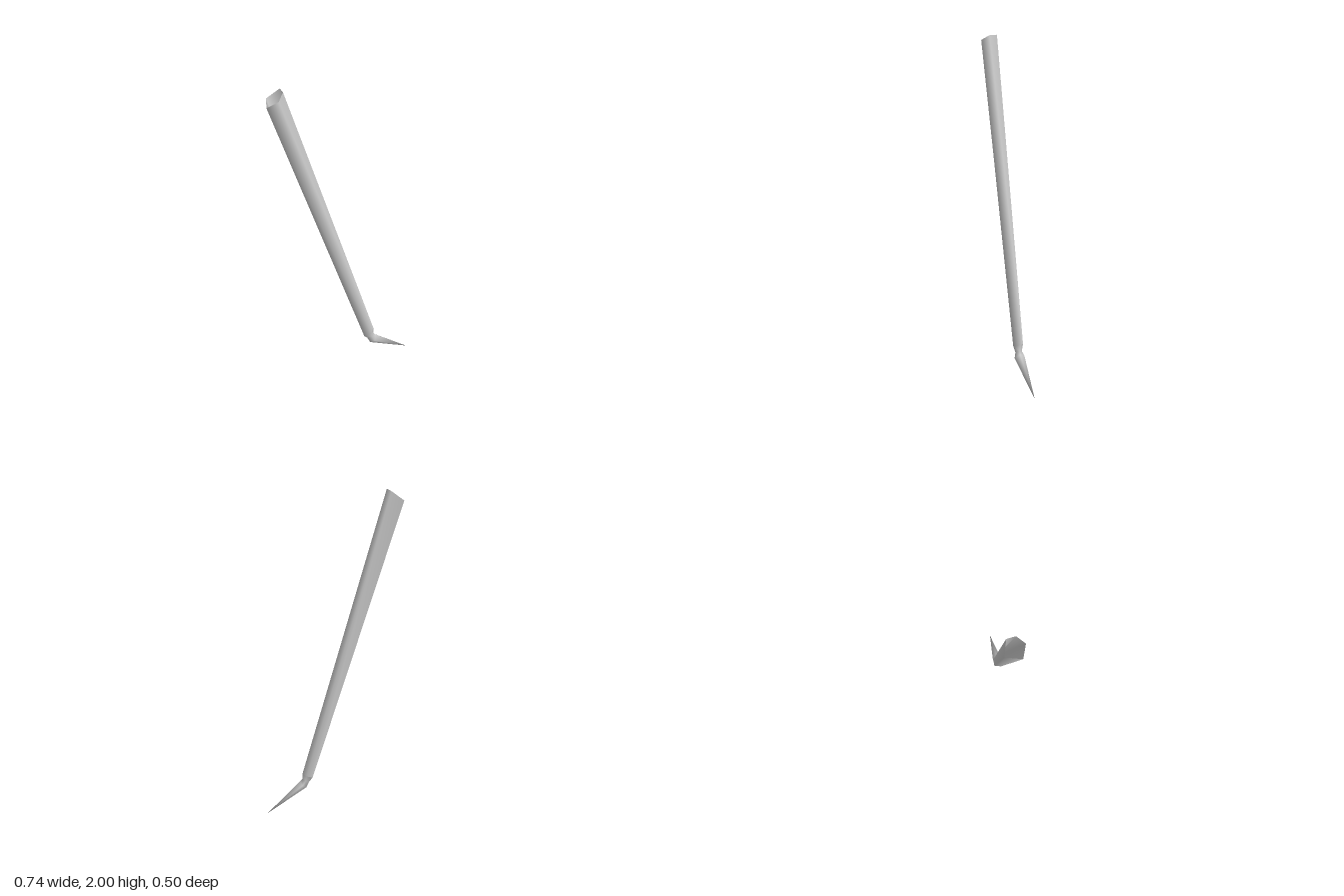
import * as THREE from 'three';

const SIDES = 5;

// Five-sided cross-sections, listed from the top of the leg to the foot
const TOP = [[-0.37, 1.945, 0.165], [-0.30, 2.0, 0.145], [-0.27, 2.0, 0.182], [-0.276, 1.97, 0.235], [-0.34, 1.933, 0.248]];
const ANKLE = [[0.108, 0.203, -0.103], [0.14, 0.225, -0.125], [0.17, 0.233, -0.116], [0.167, 0.215, -0.075], [0.124, 0.197, -0.06]];
const NECK = [[0.13, 0.172, -0.108], [0.15, 0.182, -0.12], [0.172, 0.19, -0.113], [0.17, 0.18, -0.085], [0.138, 0.167, -0.083]];
const HEEL = [[0.145, 0.137, -0.122], [0.165, 0.16, -0.14], [0.185, 0.176, -0.118], [0.19, 0.15, -0.085], [0.158, 0.126, -0.09]];
const TIP = [0.37, 0, -0.25];

// Skin through successive rings, optionally closing in a point
function loft(name, rings, tip) {
  const points = rings.flat();
  const index = [];
  for (let r = 0; r < rings.length - 1; r++) {
    for (let i = 0; i < SIDES; i++) {
      const a = r * SIDES + i;
      const b = r * SIDES + (i + 1) % SIDES;
      index.push(a, b, a + SIDES, b, b + SIDES, a + SIDES);
    }
  }
  if (tip) {
    const last = (rings.length - 1) * SIDES;
    for (let i = 0; i < SIDES; i++) index.push(last + i, last + (i + 1) % SIDES, points.length);
    points.push(tip);
  }
  const geometry = new THREE.BufferGeometry();
  geometry.setAttribute('position', new THREE.Float32BufferAttribute(points.flat(), 3));
  geometry.setIndex(index);
  geometry.computeVertexNormals();
  const mesh = new THREE.Mesh(
    geometry,
    new THREE.MeshStandardMaterial({ color: 0xcccccc, side: THREE.DoubleSide })
  );
  mesh.name = name;
  return mesh;
}

export function createModel() {
  const leg = new THREE.Group();
  leg.name = 'leg';
  // Long tapering shaft, open at the top
  leg.add(loft('shaft', [TOP, ANKLE]));
  // Pinched ankle swelling into a pointed claw
  leg.add(loft('claw', [ANKLE, NECK, HEEL], TIP));
  return leg;
}
